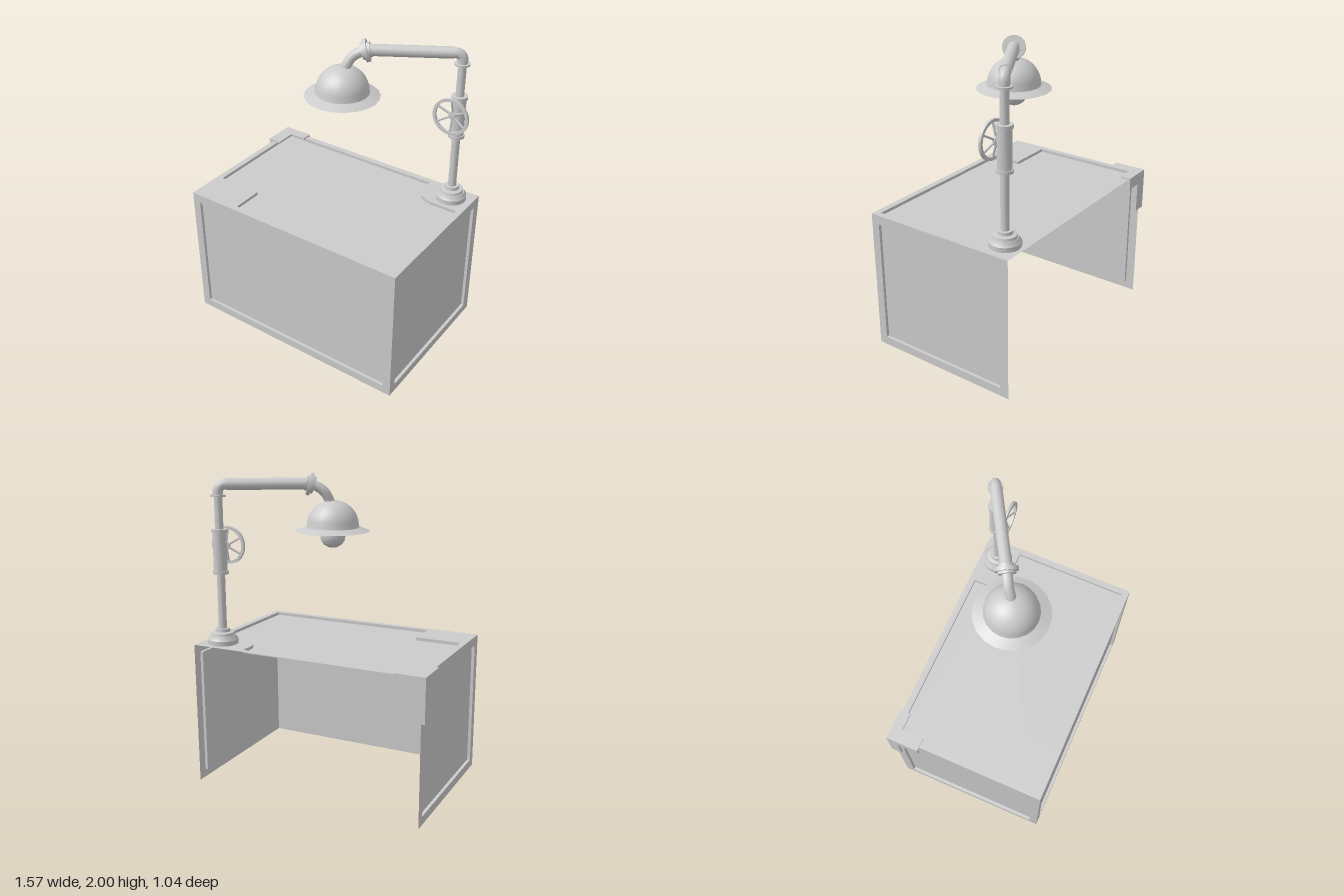
import * as THREE from 'three';
import { toCreasedNormals } from 'three/addons/utils/BufferGeometryUtils.js';

const mat = new THREE.MeshStandardMaterial({ color: 0xcccccc });
const sheet = new THREE.MeshStandardMaterial({ color: 0xcccccc, side: THREE.DoubleSide });
const V = (x, y, z) => new THREE.Vector3(x, y, z);

function add(parent, name, geo, material = mat) {
  const mesh = new THREE.Mesh(geo, material);
  mesh.name = name;
  parent.add(mesh);
  return mesh;
}

const rect = (x0, y0, x1, y1) => [[x0, y0], [x1, y0], [x1, y1], [x0, y1]];
const toVecs = (pts) => pts.map(([x, y]) => new THREE.Vector2(x, y));

// Revolved part with crisp profile corners
const lathe = (pts, seg = 20) => toCreasedNormals(new THREE.LatheGeometry(toVecs(pts), seg), 0.6);

// Thin sheet facing +z with a sunken field
function recessedPanel(name, outer, inner, depth = 0.02) {
  const g = new THREE.Group();
  g.name = name;
  const frame = new THREE.Shape(toVecs(outer));
  frame.holes.push(new THREE.Path(toVecs(inner)));
  add(g, name + 'Frame', new THREE.ShapeGeometry(frame), sheet);
  add(g, name + 'Field', new THREE.ShapeGeometry(new THREE.Shape(toVecs(inner))), sheet).position.z = -depth;
  const pos = [];
  inner.forEach(([ax, ay], i) => {
    const [bx, by] = inner[(i + 1) % inner.length];
    pos.push(ax, ay, 0, ax, ay, -depth, bx, by, -depth, ax, ay, 0, bx, by, -depth, bx, by, 0);
  });
  const step = new THREE.BufferGeometry();
  step.setAttribute('position', new THREE.Float32BufferAttribute(pos, 3));
  step.computeVertexNormals();
  add(g, name + 'Step', step, sheet);
  return g;
}

// L-shaped plate with its corner at the origin, arms along +x and +y
function ellPlate(a, b, wa, wb, t) {
  const pts = [[0, 0], [a, 0], [a, wa], [wb, wa], [wb, b], [0, b]];
  return new THREE.ExtrudeGeometry(new THREE.Shape(toVecs(pts)), { depth: t, bevelEnabled: false });
}

function buildCabinet() {
  const g = new THREE.Group();
  g.name = 'cabinet';

  const front = recessedPanel('frontWall', rect(-0.765, 0, 0.775, 0.93), rect(-0.71, 0.055, 0.72, 0.87));
  front.position.z = 0.52;

  const left = recessedPanel('leftWall', rect(-0.52, 0, 0.51, 0.93), rect(-0.465, 0.055, 0.45, 0.87));
  left.rotation.y = Math.PI / 2;
  left.position.x = 0.775;

  const right = recessedPanel('rightWall', rect(-0.51, 0, 0.52, 0.93), rect(-0.45, 0.055, 0.465, 0.87));
  right.rotation.y = -Math.PI / 2;
  right.position.x = -0.765;

  // Top field, cut back at the front corner and around the lamp foot
  const field = [
    [-0.425, -0.48], [0.735, -0.48], [0.735, 0.27], [0.555, 0.27], [0.51, 0.28], [0.465, 0.305],
    [0.447, 0.335], [0.435, 0.37], [0.435, 0.47], [-0.725, 0.47], [-0.725, -0.275], [-0.425, -0.275],
  ];
  const top = recessedPanel('tableTop', rect(-0.765, -0.52, 0.775, 0.51), field);
  top.rotation.x = -Math.PI / 2;
  top.position.y = 0.93;

  g.add(front, left, right, top);
  return g;
}

// Three L plates wrapping the rear right corner
function buildBracket() {
  const g = new THREE.Group();
  g.name = 'cornerBracket';
  const t = 0.014;
  const topPlate = add(g, 'bracketTop', ellPlate(0.185, 0.215, 0.07, 0.075, t));
  topPlate.rotation.x = Math.PI / 2;
  const backPlate = add(g, 'bracketBack', ellPlate(0.185, 0.28, 0.08, 0.075, t));
  backPlate.rotation.x = Math.PI;
  backPlate.position.z = t;
  const sidePlate = add(g, 'bracketSide', ellPlate(0.28, 0.215, 0.07, 0.08, t));
  sidePlate.rotation.set(Math.PI / 2, 0, -Math.PI / 2, 'ZXY');
  g.position.set(-0.779, 0.941, -0.524);
  return g;
}

function buildHandwheel() {
  const g = new THREE.Group();
  g.name = 'handwheel';
  const rim = [[0.1, -0.008], [0.119, -0.008], [0.119, 0.008], [0.1, 0.008], [0.1, -0.008]];
  add(g, 'wheelRim', lathe(rim, 28)).rotation.x = Math.PI / 2;
  // Spokes dished back towards the hub
  for (let i = 0; i < 6; i++) {
    const a = (i / 6) * Math.PI * 2 + Math.PI / 6;
    const path = new THREE.LineCurve3(V(0, 0, -0.026), V(Math.cos(a) * 0.105, Math.sin(a) * 0.105, 0));
    add(g, 'spoke', new THREE.TubeGeometry(path, 1, 0.007, 6));
  }
  const hub = [[0, -0.045], [0.014, -0.045], [0.014, -0.032], [0.024, -0.032], [0.024, -0.014], [0, -0.01]];
  add(g, 'wheelHub', lathe(hub, 14)).rotation.x = Math.PI / 2;
  g.position.set(0.628, 1.55, -0.305);
  return g;
}

function buildLamp() {
  const g = new THREE.Group();
  g.name = 'lamp';
  const px = 0.635, pz = -0.39, armY = 1.935;
  const dir = V(-0.862, 0, 0.507);
  const along = (d, y) => V(px, y, pz).addScaledVector(dir, d);

  // Stepped foot, pole and valve sleeve in one profile
  const column = [
    [0, 0.932], [0.097, 0.932], [0.097, 0.962], [0.08, 0.985], [0.075, 0.985], [0.072, 1.005],
    [0.047, 1.01], [0.045, 1.03], [0.026, 1.03], [0.026, 1.38], [0.05, 1.38], [0.05, 1.4],
    [0.043, 1.4], [0.043, 1.64], [0.05, 1.64], [0.05, 1.66], [0.026, 1.66], [0.026, 1.86],
    [0.047, 1.86], [0.047, 1.872], [0, 1.872],
  ];
  add(g, 'column', lathe(column)).position.set(px, 0, pz);

  // Elbow from pole into arm
  const elbow = new THREE.CurvePath();
  elbow.add(new THREE.LineCurve3(V(px, 1.865, pz), V(px, 1.885, pz)));
  elbow.add(new THREE.QuadraticBezierCurve3(V(px, 1.885, pz), V(px, armY, pz), along(0.055, armY)));
  add(g, 'elbow', new THREE.TubeGeometry(elbow, 12, 0.032, 14));

  // Horizontal pipe with closed ends
  const arm = add(g, 'arm', new THREE.CylinderGeometry(0.036, 0.036, 0.5, 16));
  arm.position.copy(along(0.3, armY));
  arm.quaternion.setFromUnitVectors(V(0, 1, 0), dir);

  // Tilted flange at the bend
  const flange = [
    [0, -0.03], [0.046, -0.03], [0.046, -0.012], [0.07, -0.012], [0.07, 0.01],
    [0.055, 0.01], [0.052, 0.026], [0, 0.026],
  ];
  const joint = add(g, 'flange', lathe(flange, 16));
  joint.position.copy(along(0.565, armY - 0.004));
  joint.quaternion.setFromUnitVectors(V(0, 1, 0), dir.clone().setY(-0.32).normalize());

  // Neck bending down into the shade
  const sx = 0.035, sz = -0.022;
  const neck = new THREE.CatmullRomCurve3([
    along(0.55, armY), along(0.6, armY - 0.015), along(0.65, 1.885), V(sx + 0.016, 1.83, sz - 0.014), V(sx + 0.01, 1.8, sz - 0.01),
  ]);
  add(g, 'neck', new THREE.TubeGeometry(neck, 14, 0.031, 14));

  // Domed shade with flared brim
  const dome = [];
  for (let i = 0; i <= 8; i++) {
    const a = (i / 8) * Math.PI / 2;
    dome.push([0.165 * Math.sin(a), 1.675 + 0.157 * Math.cos(a)]);
  }
  dome.push([0.168, 1.665], [0.233, 1.641]);
  add(g, 'shade', lathe(dome), sheet).position.set(sx, 0, sz);

  // Pear-shaped bulb
  const bulb = [[0, 1.533], [0.03, 1.539], [0.058, 1.556], [0.076, 1.584], [0.08, 1.614],
    [0.074, 1.645], [0.058, 1.68], [0.04, 1.715], [0.033, 1.75], [0.033, 1.82]];
  add(g, 'bulb', new THREE.LatheGeometry(toVecs(bulb), 20)).position.set(sx, 0, sz);

  g.add(buildHandwheel());
  return g;
}

export function createModel() {
  const model = new THREE.Group();
  model.name = 'deskWithPipeLamp';
  model.add(buildCabinet(), buildBracket(), buildLamp());
  return model;
}
